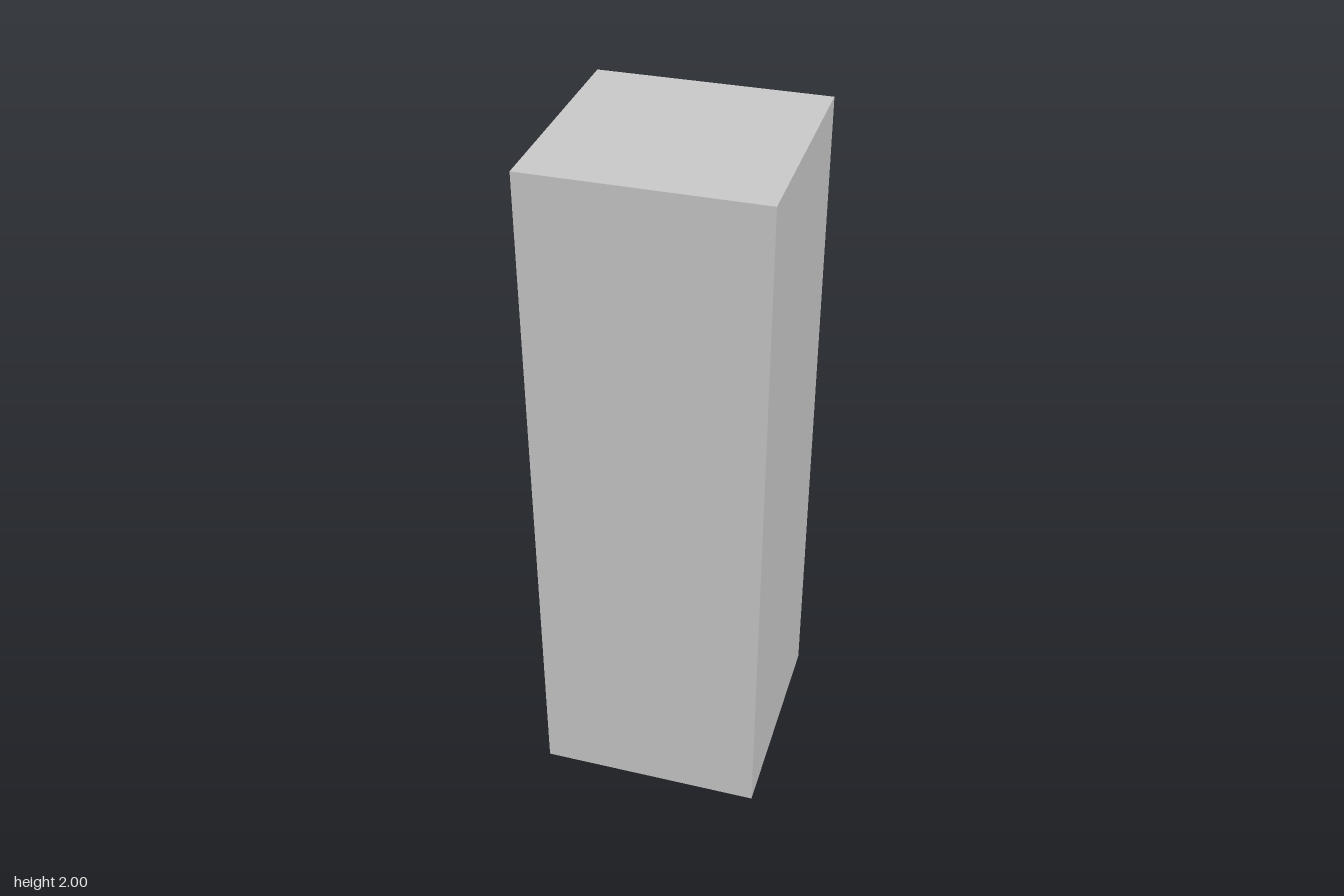
import * as THREE from 'three';

const DRAWERS = 7, HEIGHT = 2, HALF = 0.326;
const BACK = 0.337, FACE = -0.316, RECESS = 0.02, FRAME = 0.012;
const PITCH = HEIGHT / DRAWERS;
const OPEN_W = 2 * (HALF - FRAME), OPEN_H = PITCH - 2 * FRAME;

// rectangle corners, counter-clockwise
function rect(cx, cy, w, h) {
  return [[-1, -1], [1, -1], [1, 1], [-1, 1]].map(
    ([sx, sy]) => new THREE.Vector2(cx + sx * w / 2, cy + sy * h / 2));
}

// bow pull: half ellipse lying flat, ends on the drawer front
function handleGeometry() {
  const points = [];
  for (let i = 0; i <= 10; i++) {
    const t = Math.PI * i / 10;
    points.push(new THREE.Vector3(-0.035 * Math.sin(t), 0, 0.114 * Math.cos(t)));
  }
  return new THREE.TubeGeometry(new THREE.CatmullRomCurve3(points), 14, 0.006, 8);
}

export function createModel() {
  const group = new THREE.Group();
  const material = new THREE.MeshStandardMaterial({ color: 0xcccccc });
  const add = (parent, name, geometry, x = 0, y = 0, z = 0) => {
    const mesh = new THREE.Mesh(geometry, material);
    mesh.name = name;
    mesh.position.set(x, y, z);
    parent.add(mesh);
  };

  // cabinet body behind the drawer fronts
  const bodyFront = FACE + RECESS + 0.006;
  const depth = BACK - bodyFront;
  add(group, 'cabinetBody', new THREE.BoxGeometry(depth, HEIGHT, 2 * HALF),
    bodyFront + depth / 2, HEIGHT / 2);

  // face frame with one opening per drawer, on the -x side
  const shape = new THREE.Shape(rect(0, HEIGHT / 2, 2 * HALF, HEIGHT));
  for (let i = 0; i < DRAWERS; i++) {
    shape.holes.push(new THREE.Path(rect(0, (i + 0.5) * PITCH, OPEN_W, OPEN_H).reverse()));
  }
  const frame = new THREE.ExtrudeGeometry(shape, { depth: bodyFront - FACE, bevelEnabled: false });
  frame.rotateY(-Math.PI / 2);
  add(group, 'faceFrame', frame, bodyFront);

  // recessed drawer fronts with bow handles
  const panel = new THREE.BoxGeometry(0.01, OPEN_H - 0.006, OPEN_W - 0.006);
  const handle = handleGeometry();
  for (let i = 0; i < DRAWERS; i++) {
    const drawer = new THREE.Group();
    drawer.name = 'drawer' + (i + 1);
    drawer.position.set(FACE + RECESS, (i + 0.5) * PITCH, 0);
    add(drawer, 'drawerFront', panel, 0.005);
    add(drawer, 'drawerHandle', handle);
    group.add(drawer);
  }
  return group;
}
